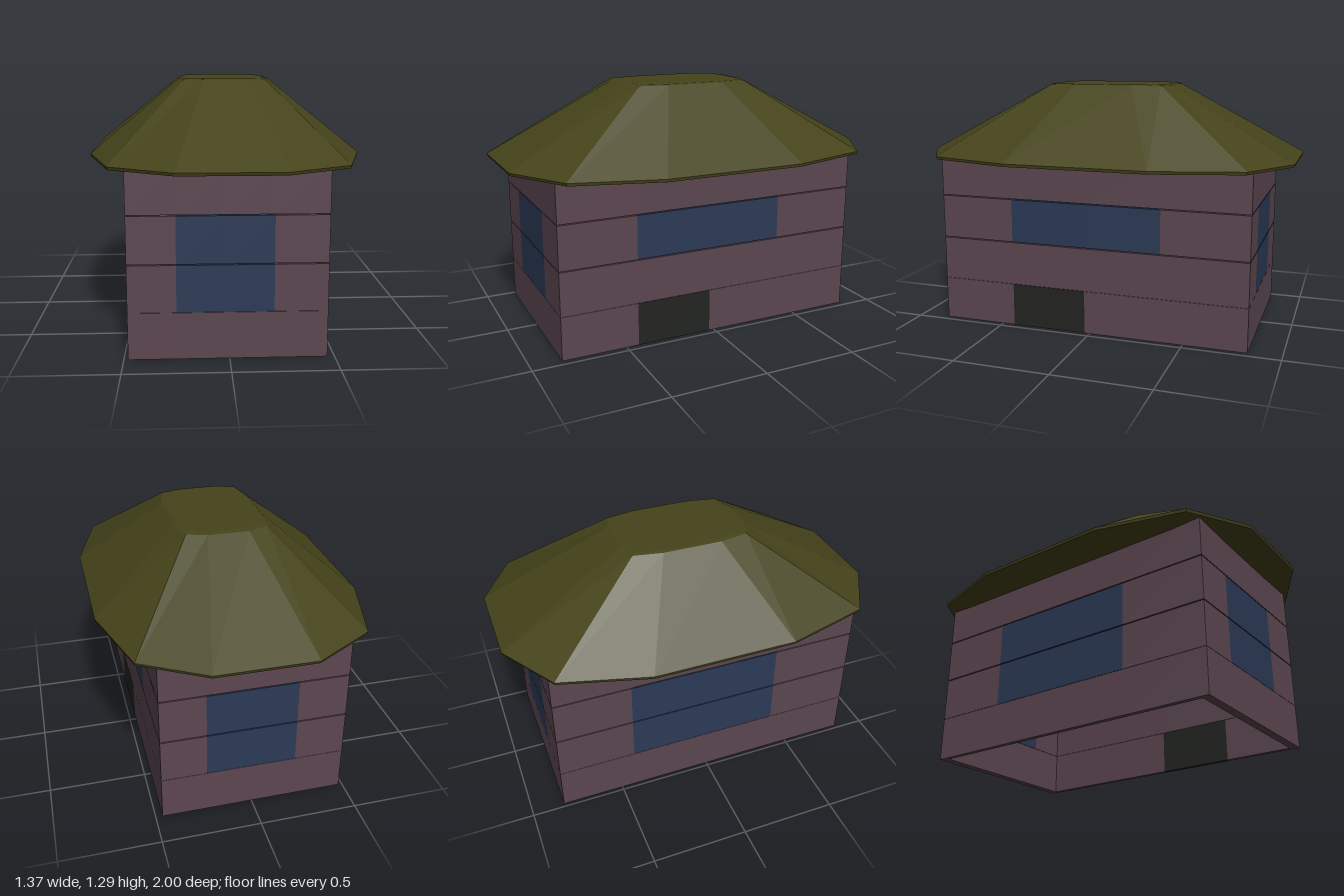
import * as THREE from 'three';

const paint = (color) => new THREE.MeshStandardMaterial({ color, flatShading: true });

// Closed solid lofted through rings of [x, y, z] points, listed bottom to top
function loft(rings) {
  const n = rings[0].length;
  const pos = rings.flat(2);
  const index = [];
  for (let r = 0; r < rings.length - 1; r++) {
    for (let i = 0; i < n; i++) {
      const a = r * n + i, b = r * n + (i + 1) % n;
      index.push(a, a + n, b, b, a + n, b + n);
    }
  }
  const top = (rings.length - 1) * n;
  for (let i = 1; i < n - 1; i++) {
    index.push(0, i, i + 1);
    index.push(top, top + i + 1, top + i);
  }
  const geo = new THREE.BufferGeometry();
  geo.setAttribute('position', new THREE.Float32BufferAttribute(pos, 3));
  geo.setIndex(index);
  const flat = geo.toNonIndexed();
  flat.computeVertexNormals();
  return flat;
}

// Twelve-sided outline mirrored from one quarter (+x, +z), running from +z towards +x and around
function outline(quarter, y, s = 1) {
  const back = [...quarter].reverse();
  return [
    ...quarter.map(([x, z]) => [x, z]),
    ...back.map(([x, z]) => [x, -z]),
    ...quarter.map(([x, z]) => [-x, -z]),
    ...back.map(([x, z]) => [-x, z]),
  ].map(([x, z]) => [x * s, y, z * s]).reverse();
}

export function createModel() {
  const house = new THREE.Group();
  house.name = 'house';

  const materials = {
    W: paint(0x5c4650), // wall
    G: paint(0x2b3a56), // window
    D: paint(0x232522), // door
  };
  const names = { W: 'wallPanel', G: 'windowPanel', D: 'doorPanel' };

  // Outer faces, wall thicknesses, panel widths and panel rows
  const x0 = -0.48, x1 = 0.465, z0 = -0.83, z1 = 0.84;
  const tx = 0.025, tz = 0.045;
  const px = (x1 - x0 - tx) / 4, pz = (z1 - z0 - tz) / 4;
  const rowY = [0, 0.23, 0.4635, 0.697], rowH = 0.2285;

  // Each wall starts at one corner and butts against the next wall;
  // rows run bottom to top, columns from the starting corner
  const walls = [
    { name: 'frontWall', rows: ['WWWW', 'WGGW', 'WGGW', 'WWWW'],
      size: [px, tz], at: (c) => [x0 + px * (c + 0.5), z1 - tz / 2] },
    { name: 'leftWall', rows: ['WDWW', 'WWWW', 'WGGW', 'WWWW'],
      size: [tx, pz], at: (c) => [x1 - tx / 2, z1 - pz * (c + 0.5)] },
    { name: 'backWall', rows: ['WWWW', 'WGGW', 'WGGW', 'WWWW'],
      size: [px, tz], at: (c) => [x1 - px * (c + 0.5), z0 + tz / 2] },
    { name: 'rightWall', rows: ['WWWW', 'WGGW', 'WGGW', 'WWWW'],
      size: [tx, pz], at: (c) => [x0 + tx / 2, z0 + pz * (c + 0.5)] },
  ];

  for (const { name, rows, size, at } of walls) {
    const wall = new THREE.Group();
    wall.name = name;
    const geo = new THREE.BoxGeometry(size[0], rowH, size[1]);
    rows.forEach((row, r) => [...row].forEach((kind, c) => {
      const panel = new THREE.Mesh(geo, materials[kind]);
      panel.name = names[kind];
      const [x, z] = at(c);
      panel.position.set(x, rowY[r] + rowH / 2, z);
      wall.add(panel);
    }));
    house.add(wall);
  }

  // Hipped roof with a thin bevelled eave and a flat top
  const eave = [[0.25, 1], [0.56, 0.815], [0.685, 0.37]];
  const crown = [[0.105, 0.34], [0.207, 0.305], [0.235, 0.155]];
  const roof = new THREE.Mesh(loft([
    outline(eave, 0.894, 0.85),
    outline(eave, 0.902, 0.995),
    outline(eave, 0.917),
    outline(crown, 1.286),
    outline(crown, 1.29, 0.92),
  ]), paint(0x45431a));
  roof.name = 'roof';
  house.add(roof);

  return house;
}
